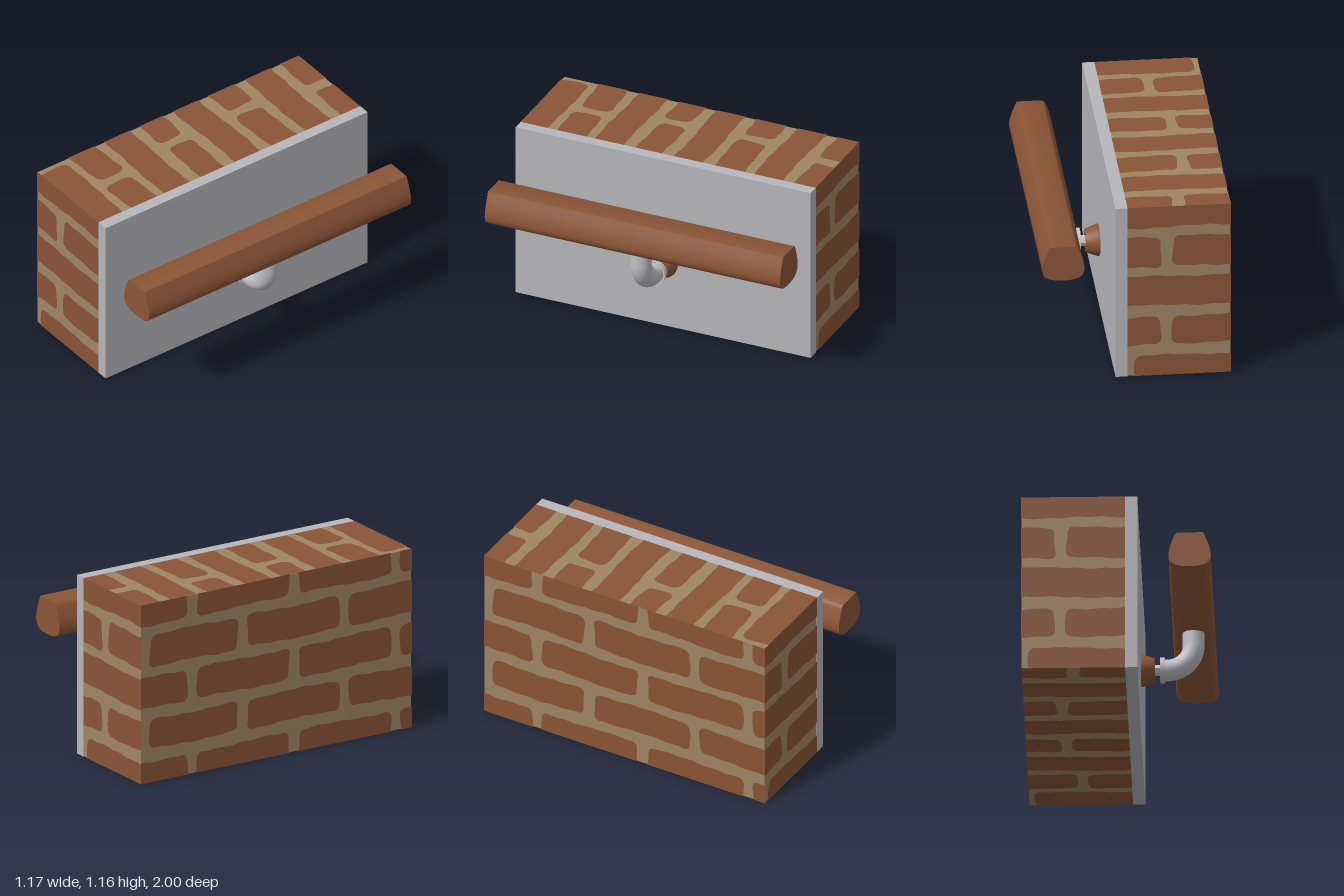
import * as THREE from 'three';
import { toCreasedNormals } from 'three/addons/utils/BufferGeometryUtils.js';

const mat = (name, color) => new THREE.MeshStandardMaterial({ name, color });

export function createModel() {
  const brick = mat('brick', 0x8a5436);
  const wood = mat('wood', 0x8c5637);
  const mortar = mat('mortar', 0xa08564);
  const plaster = mat('plaster', 0xb7b6ba);
  const metal = mat('metal', 0xc2c2c7);

  const model = new THREE.Group();
  model.name = 'wallHandrail';
  const add = (parent, name, geometry, material, x = 0, y = 0, z = 0) => {
    const mesh = new THREE.Mesh(geometry, material);
    mesh.name = name;
    mesh.position.set(x, y, z);
    parent.add(mesh);
    return mesh;
  };

  // Wall: mortar core with a plaster sheet on the rail side
  const W = 0.32, H = 0.58, L = 1, SKIN = 0.003;
  const wall = new THREE.Group();
  wall.name = 'wall';
  wall.position.set(-0.265, H, 0);
  model.add(wall);
  add(wall, 'mortarCore', new THREE.BoxGeometry(2 * W - SKIN, 2 * (H - SKIN), 2 * (L - SKIN)), mortar, SKIN / 2);
  add(model, 'plasterSheet', new THREE.BoxGeometry(0.075, 2 * H, 2 * L), plaster, 0.0925, H, 0);

  // One worn brick face: rounded outline with wavy edges, cut off at the wall edges
  const brickShape = (u0, u1, v0, v1, hu, hv, phase) => {
    const r = 0.045;
    const s = new THREE.Shape();
    s.moveTo(u0 + r, v0);
    s.lineTo(u1 - r, v0);
    s.quadraticCurveTo(u1, v0, u1, v0 + r);
    s.lineTo(u1, v1 - r);
    s.quadraticCurveTo(u1, v1, u1 - r, v1);
    s.lineTo(u0 + r, v1);
    s.quadraticCurveTo(u0, v1, u0, v1 - r);
    s.lineTo(u0, v0 + r);
    s.quadraticCurveTo(u0, v0, u0 + r, v0);
    const points = s.getSpacedPoints(110).slice(0, -1).map(({ x, y }) => new THREE.Vector2(
      THREE.MathUtils.clamp(x + 0.006 * Math.sin(19 * y + phase), -hu, hu),
      THREE.MathUtils.clamp(y + 0.006 * Math.sin(9 * x + phase) + 0.003 * Math.sin(37 * x + 2 * phase), -hv, hv)));
    return new THREE.Shape(points.filter((p, i) => p.distanceTo(points.at(i - 1)) > 1e-4));
  };

  // Courses are [bottom, top, joint positions], measured from the face centre
  const brickFace = (name, hu, hv, depth, rotX, rotY, courses) => {
    const shapes = [];
    courses.forEach(([v0, v1, joints], row) => {
      const ends = [-hu - 0.2, ...joints, hu + 0.2];
      for (let i = 0; i < ends.length - 1; i++) {
        const u0 = ends[i] + 0.036, u1 = ends[i + 1] - 0.036;
        if (u1 < -hu || u0 > hu) continue;
        shapes.push(brickShape(u0, u1, v0, v1, hu, hv, row * 1.7 + i * 2.3));
      }
    });
    const face = new THREE.Group();
    face.name = name;
    face.rotation.set(rotX, rotY, 0);
    wall.add(face);
    add(face, name + 'Bricks', new THREE.ShapeGeometry(shapes), brick, 0, 0, depth);
  };

  const endCourses = [
    [-0.7, -0.445, [-0.31]], [-0.365, -0.175, [-0.08]], [-0.1, 0.1, []],
    [0.165, 0.373, [-0.075]], [0.44, 0.7, []],
  ];
  brickFace('frontEnd', W, H, L, 0, 0, endCourses);
  brickFace('backEnd', W, H, L, 0, Math.PI, endCourses);

  const sideJoints = [[-0.97, -0.25, 0.5], [-0.62, 0.13, 0.88]];
  brickFace('brickSide', L, H, W, 0, -Math.PI / 2,
    endCourses.map(([a, b], i) => [a, b, sideJoints[(i + 1) % 2]]));

  const topCourses = [
    [-1.15, -0.81, [-0.315]], [-0.755, -0.555, [0.02]], [-0.495, -0.3, []], [-0.22, -0.04, [-0.065]],
    [0.04, 0.235, []], [0.31, 0.51, [-0.08]], [0.58, 0.775, []], [0.855, 1.15, [0]],
  ];
  brickFace('wallTop', W, L, H, -Math.PI / 2, 0, topCourses);
  brickFace('wallUnderside', W, L, H, Math.PI / 2, 0, topCourses);

  // Handrail: flat-topped, round-bellied profile swept along z
  const profile = new THREE.Shape();
  profile.moveTo(0.378, 0.912);
  profile.quadraticCurveTo(0.363, 0.905, 0.355, 0.885);
  profile.bezierCurveTo(0.338, 0.84, 0.322, 0.8, 0.322, 0.755);
  profile.bezierCurveTo(0.326, 0.705, 0.355, 0.684, 0.453, 0.682);
  profile.bezierCurveTo(0.55, 0.684, 0.579, 0.705, 0.583, 0.755);
  profile.bezierCurveTo(0.583, 0.8, 0.562, 0.85, 0.535, 0.912);
  profile.closePath();
  const railGeometry = new THREE.ExtrudeGeometry(profile, { depth: 2 * L, bevelEnabled: false, curveSegments: 10 });
  add(model, 'handrail', toCreasedNormals(railGeometry, 0.5), wood, 0, 0, -L);

  // Bracket: wooden rose, hex stud, collar and bent tube
  const bracket = new THREE.Group();
  bracket.name = 'bracket';
  model.add(bracket);
  const Y = 0.442;
  const turned = (name, points, material, sides = 40) => {
    const g = new THREE.LatheGeometry(points.map(([r, x]) => new THREE.Vector2(r, x)), sides);
    g.rotateZ(-Math.PI / 2);
    add(bracket, name, toCreasedNormals(g, 0.4), material, 0, Y, 0);
  };
  turned('rose', [[0, 0.13], [0.099, 0.13], [0.099, 0.145], [0.073, 0.214], [0, 0.214]], wood);
  turned('stud', [[0, 0.21], [0.034, 0.21], [0.034, 0.25], [0, 0.25]], metal, 6);
  turned('collar', [[0, 0.247], [0.08, 0.247], [0.08, 0.276], [0, 0.276]], metal);

  const path = new THREE.CurvePath();
  const R = 0.162, bx = 0.29, tx = bx + R;
  const v = (x, y) => new THREE.Vector3(x, y, 0);
  const k = R * 0.5523;
  path.add(new THREE.LineCurve3(v(0.265, Y), v(bx, Y)));
  path.add(new THREE.CubicBezierCurve3(v(bx, Y), v(bx + k, Y), v(tx, Y + R - k), v(tx, Y + R)));
  path.add(new THREE.LineCurve3(v(tx, Y + R), v(tx, 0.7)));
  add(bracket, 'bentTube', new THREE.TubeGeometry(path, 40, 0.067, 32), metal);

  return model;
}
